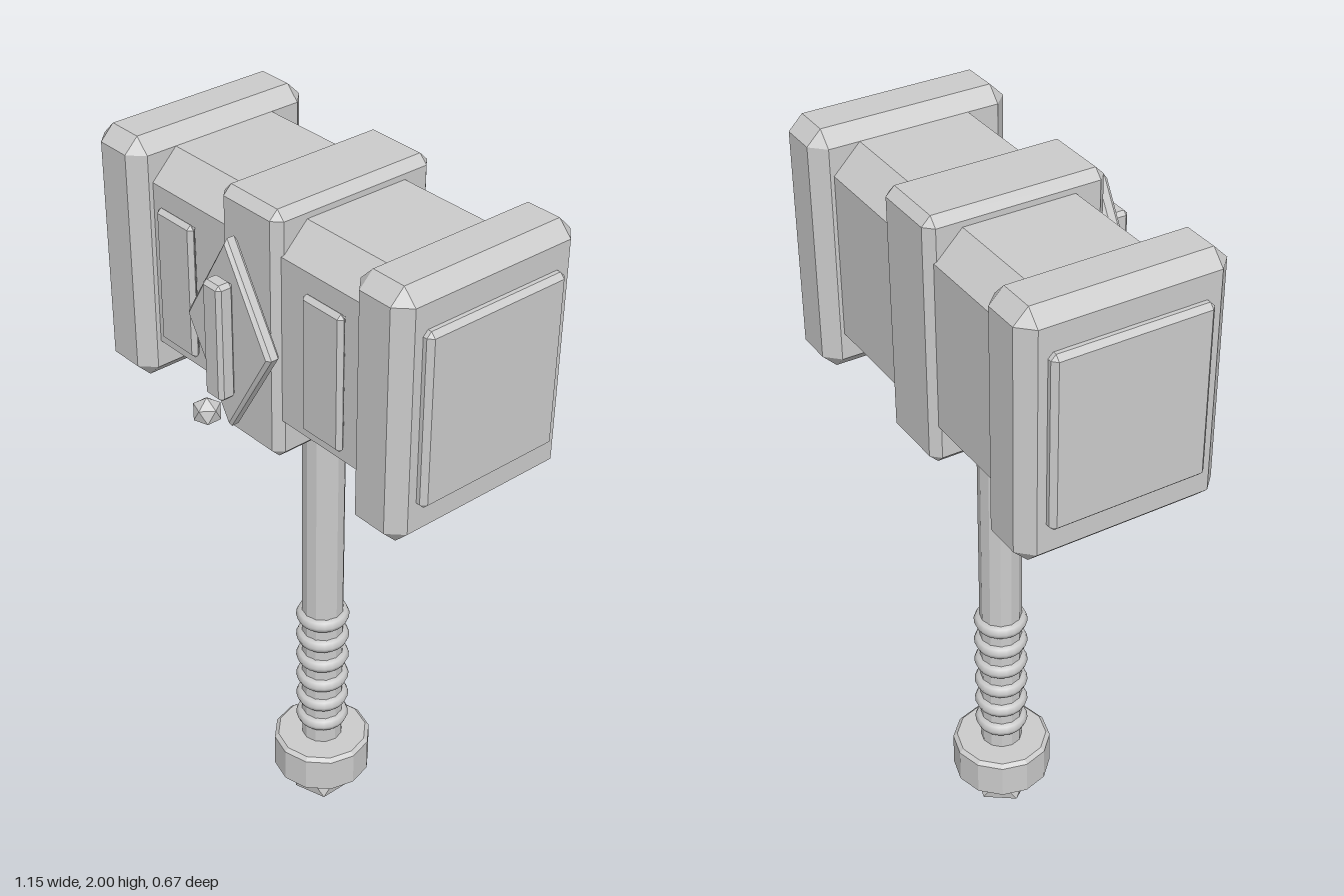
import * as THREE from 'three';
import { ConvexGeometry } from 'three/addons/geometries/ConvexGeometry.js';

const AXIS_Z = -0.065; // handle axis
const material = new THREE.MeshStandardMaterial({ color: 0xcccccc, flatShading: true });
const smooth = new THREE.MeshStandardMaterial({ color: 0xcccccc });

// Box given by its limits, with every edge chamfered by c
function chamferBox([x0, x1], [y0, y1], [z0, z1], c) {
  const h = [(x1 - x0) / 2, (y1 - y0) / 2, (z1 - z0) / 2];
  const points = [];
  for (const sx of [-1, 1]) for (const sy of [-1, 1]) for (const sz of [-1, 1]) {
    for (let full = 0; full < 3; full++) {
      const e = h.map((v, i) => (i === full ? v : v - c));
      points.push(new THREE.Vector3(sx * e[0], sy * e[1], sz * e[2]));
    }
  }
  const geometry = new ConvexGeometry(points);
  geometry.translate((x0 + x1) / 2, (y0 + y1) / 2, (z0 + z1) / 2);
  return geometry;
}

// Closed turned part around the handle axis
function turned(profile, sides) {
  return new THREE.LatheGeometry(profile.map(([r, y]) => new THREE.Vector2(r, y)), sides)
    .translate(0, 0, AXIS_Z);
}

// Icosahedron standing on one vertex
function gem(radius) {
  return new THREE.IcosahedronGeometry(radius, 0)
    .rotateZ(-Math.atan(2 / (1 + Math.sqrt(5))));
}

export function createModel() {
  const model = new THREE.Group();
  model.name = 'warHammer';
  const add = (name, geometry, mat = material) => {
    const mesh = new THREE.Mesh(geometry, mat);
    mesh.name = name;
    model.add(mesh);
    return mesh;
  };

  // Head: octagonal bar running along x
  const c = 0.073, hz = 0.222, hy = 0.294;
  const octagon = new THREE.Shape([
    [hz, hy - c], [hz - c, hy], [c - hz, hy], [-hz, hy - c],
    [-hz, c - hy], [c - hz, -hy], [hz - c, -hy], [hz, c - hy],
  ].map(([x, y]) => new THREE.Vector2(x, y)));
  add('headCore', new THREE.ExtrudeGeometry(octagon, { depth: 0.8, bevelEnabled: false })
    .translate(0, 0, -0.4).rotateY(Math.PI / 2).translate(0, 1.668, AXIS_Z - 0.003));
  add('centreBand', chamferBox([-0.105, 0.105], [1.335, 2], [-0.308, 0.172], 0.023));

  // Striking ends and front panels, mirrored
  for (const s of [-1, 1]) {
    const side = s > 0 ? 'left' : 'right';
    const span = (a, b) => (s > 0 ? [a, b] : [-b, -a]);
    add(side + 'EndBlock', chamferBox(span(0.38, 0.553), [1.335, 2], [-0.338, 0.204], 0.038));
    add(side + 'StrikingPlate', chamferBox(span(0.53, 0.577), [1.438, 1.898], [-0.276, 0.142], 0.013));
    add(side + 'FrontPanel', chamferBox(span(0.2, 0.337), [1.485, 1.85], [0.16, 0.184], 0.011));
  }

  // Diamond emblem with its bar and stud
  const b = 0.009, dx = 0.143, dy = 0.241;
  const diamond = new THREE.Shape([
    new THREE.Vector2(dx, 0), new THREE.Vector2(0, dy),
    new THREE.Vector2(-dx, 0), new THREE.Vector2(0, -dy),
  ]);
  add('diamondEmblem', new THREE.ExtrudeGeometry(diamond, {
    depth: 0.02, bevelThickness: b, bevelSize: b, bevelSegments: 1,
  }).translate(0, 1.668, 0.2 + b));
  add('emblemBar', chamferBox([-0.032, 0.032], [1.515, 1.825], [0.236, 0.284], 0.01));
  add('emblemStud', gem(0.038)).position.set(0, 1.488, 0.302);

  // Handle, collar and grip rings
  add('handle', turned([[0, 0.2], [0.057, 0.2], [0.057, 1.4], [0, 1.4]], 12));
  add('collar', turned([[0, 1.316], [0.1, 1.316], [0.112, 1.328], [0.112, 1.37], [0, 1.37]], 16));
  for (let i = 0; i < 6; i++) {
    add('gripRing' + (i + 1), new THREE.TorusGeometry(0.052, 0.021, 8, 20).rotateX(Math.PI / 2), smooth)
      .position.set(0, 0.318 + i * 0.0715, AXIS_Z);
  }

  // Pommel and pointed tip
  add('pommel', turned([
    [0, 0.13], [0.125, 0.13], [0.136, 0.14], [0.136, 0.24], [0.125, 0.25], [0, 0.25],
  ], 12));
  add('pommelTip', gem(0.09)).position.set(0, 0.095, AXIS_Z);

  return model;
}
